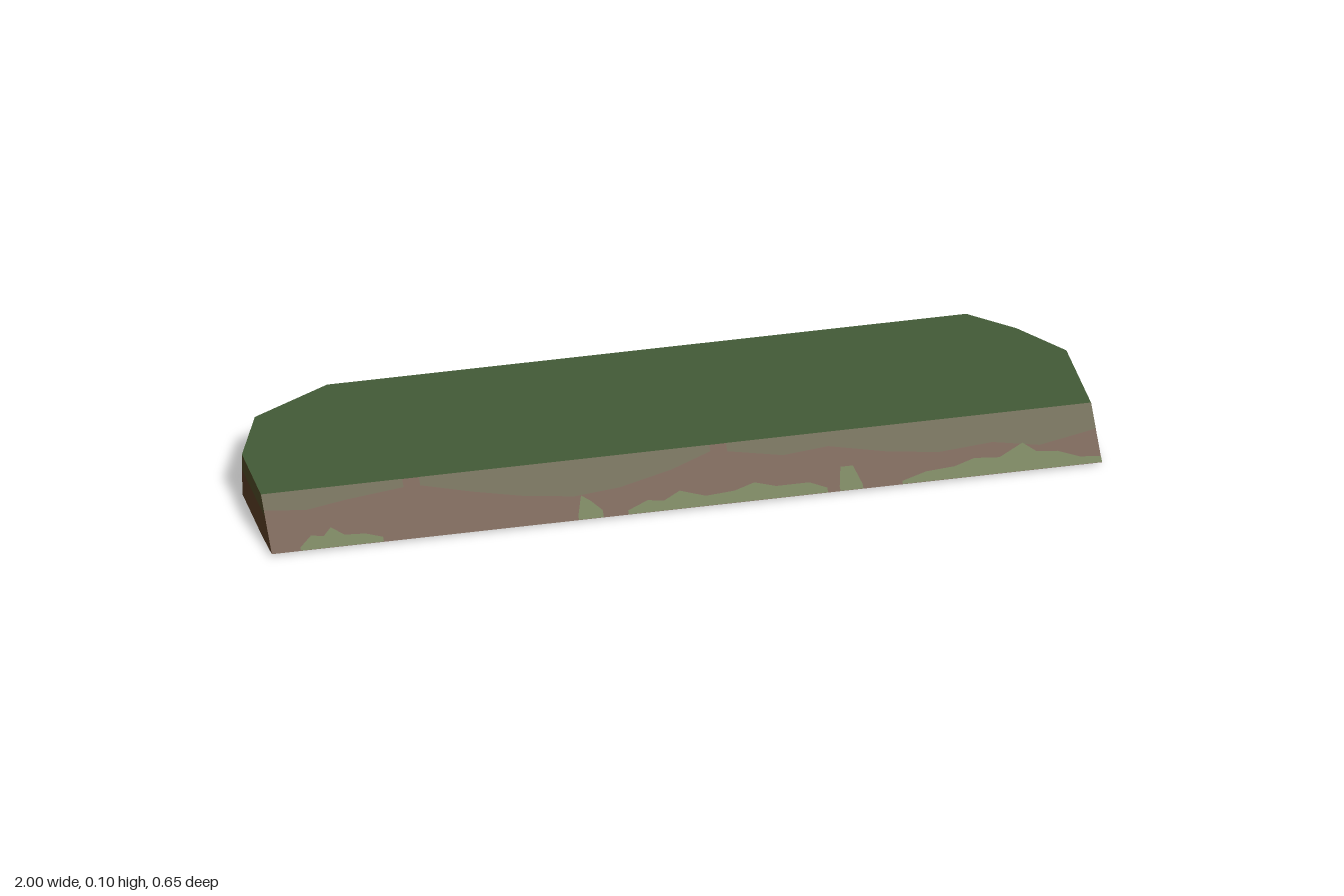
import * as THREE from 'three';

const material = (name, color) => {
  const m = new THREE.MeshStandardMaterial({ color });
  m.name = name;
  return m;
};

// Outlines [x, z], running from the front left corner round the back
const topRing = [[1, 0.21], [1, 0.12], [1, -0.05], [0.91, -0.18], [0.81, -0.275], [0.5, -0.275],
  [0.1, -0.275], [-0.3, -0.275], [-0.47, -0.275], [-0.73, -0.275], [-0.93, -0.16], [-1, 0.01],
  [-1, 0.12], [-1, 0.21]];
const bottomRing = [[1, 0.325], [1, 0.22], [1, -0.05], [0.935, -0.19], [0.83, -0.275], [0.5, -0.268],
  [0.1, -0.325], [-0.33, -0.268], [-0.48, -0.29], [-0.75, -0.272], [-0.915, -0.15], [-1, 0.015],
  [-1, 0.22], [-1, 0.325]];
const HEIGHT = 0.104, LIP_Y = 0.006, LIP_Z = 0.325, TOP_Z = 0.21;

export function createModel() {
  const group = new THREE.Group();
  const grass = material('grass green', 0x435b37);
  const moss = material('moss olive', 0x514b26);
  const earth = material('earth brown', 0x5c3e25);
  const fringe = material('fringe green', 0x586630);
  const soil = material('soil dark brown', 0x483320);

  const add = (name, geometry, mat) => {
    const mesh = new THREE.Mesh(geometry, mat);
    mesh.name = name;
    group.add(mesh);
    return mesh;
  };
  const flat = (points) => new THREE.ShapeGeometry(new THREE.Shape(points.map(([x, y]) => new THREE.Vector2(x, y))));

  // Grass top
  add('grassTop', flat(topRing.map(([x, z]) => [x, -z])).rotateX(-Math.PI / 2).translate(0, HEIGHT, 0), grass);

  // Underside, with the slightly raised lip at the front
  add('underside', flat(bottomRing.slice(1, -1)).rotateX(Math.PI / 2), soil);
  const lip = new THREE.PlaneGeometry(2, Math.hypot(0.105, LIP_Y));
  lip.rotateX(Math.PI / 2 - Math.atan2(LIP_Y, 0.105)).translate(0, LIP_Y / 2, 0.2725);
  add('frontLip', lip, soil);

  // Side and back walls: earth below, moss above
  const levels = [0, 0.3, 0.62, 1];
  const n = topRing.length;
  const positions = [], index = [];
  for (const t of levels) {
    for (let i = 0; i < n; i++) {
      const y0 = i === 0 || i === n - 1 ? LIP_Y : 0;
      positions.push(
        THREE.MathUtils.lerp(bottomRing[i][0], topRing[i][0], t),
        THREE.MathUtils.lerp(y0, HEIGHT, t),
        THREE.MathUtils.lerp(bottomRing[i][1], topRing[i][1], t));
    }
  }
  const walls = new THREE.BufferGeometry();
  for (let r = 0; r < levels.length - 1; r++) {
    for (let i = 0; i < n - 1; i++) {
      const a = r * n + i, b = a + 1, c = b + n, d = a + n;
      index.push(a, b, c, a, c, d);
    }
    walls.addGroup(r * (n - 1) * 6, (n - 1) * 6, r === 2 ? 1 : 0);
  }
  walls.setAttribute('position', new THREE.Float32BufferAttribute(positions, 3));
  walls.setIndex(index);
  walls.computeVertexNormals();
  add('earthWalls', walls, [earth, moss]);

  // Sloping front bank and the thin patches lying on it (x, distance up the slope)
  const rise = HEIGHT - LIP_Y, run = LIP_Z - TOP_Z;
  const length = Math.hypot(rise, run);
  const onSlope = (name, points, mat, lift) => {
    const geometry = flat(points).translate(0, 0, lift);
    geometry.rotateX(-Math.atan2(run, rise)).translate(0, LIP_Y, LIP_Z);
    add(name, geometry, mat);
  };
  onSlope('frontBank', [[-1, 0], [1, 0], [1, length], [-1, length]], earth, 0);

  // Olive moss creeping down from the top edge
  const mossPatches = [
    [[-1, 0.11], [-0.9, 0.1], [-0.8, 0.115], [-0.66, 0.13]],
    [[-0.62, 0.13], [-0.5, 0.1], [-0.38, 0.075], [-0.26, 0.06], [-0.15, 0.07], [-0.02, 0.1], [0.08, 0.135]],
    [[0.12, 0.13], [0.25, 0.105], [0.36, 0.115], [0.5, 0.085], [0.62, 0.07], [0.75, 0.08], [0.86, 0.06], [1, 0.085]],
  ];
  for (const p of mossPatches) {
    onSlope('mossPatch', [...p, [p[p.length - 1][0], length], [p[0][0], length]], moss, 0.001);
  }

  // Ragged green fringe along the foot
  const fringes = [
    [[-0.93, 0.008], [-0.9, 0.035], [-0.87, 0.03], [-0.85, 0.05], [-0.82, 0.028], [-0.77, 0.025], [-0.73, 0.012]],
    [[-0.26, 0.01], [-0.245, 0.06], [-0.225, 0.045], [-0.2, 0.018]],
    [[-0.14, 0.01], [-0.09, 0.03], [-0.05, 0.025], [-0.01, 0.045], [0.05, 0.025], [0.12, 0.03], [0.17, 0.045],
      [0.22, 0.03], [0.3, 0.03], [0.34, 0.012]],
    [[0.37, 0.012], [0.38, 0.06], [0.41, 0.06], [0.425, 0.012]],
    [[0.52, 0.008], [0.58, 0.025], [0.65, 0.03], [0.7, 0.045], [0.76, 0.04], [0.82, 0.07], [0.85, 0.045],
      [0.9, 0.04], [0.95, 0.02], [1, 0.015]],
  ];
  for (const p of fringes) {
    onSlope('grassFringe', [[p[0][0], 0], ...p, [p[p.length - 1][0], 0]], fringe, 0.002);
  }
  return group;
}
